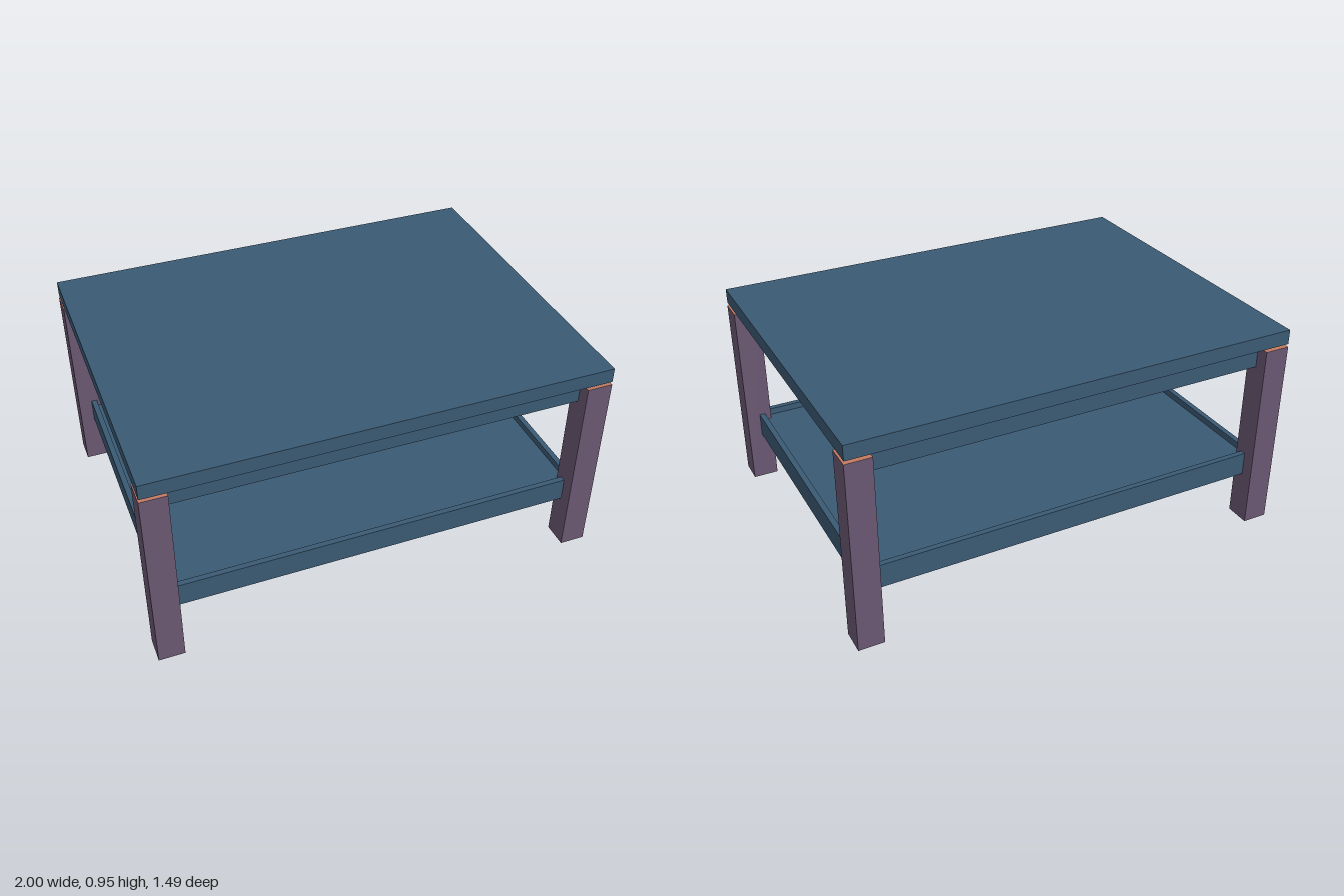
import * as THREE from 'three';

export function createModel() {
  const group = new THREE.Group();
  const material = (name, color) => {
    const m = new THREE.MeshStandardMaterial({ color });
    m.name = name;
    return m;
  };
  const blue = material('slate blue', 0x3b5a74);
  const purple = material('muted purple', 0x6a5873);
  const endGrain = material('terracotta', 0xc47a62);

  // Box given by its centre in x and z, its bottom and its top
  const box = (name, w, d, bottom, top, x = 0, z = 0, mat = blue) => {
    const mesh = new THREE.Mesh(new THREE.BoxGeometry(w, top - bottom, d), mat);
    mesh.name = name;
    mesh.position.set(x, (bottom + top) / 2, z);
    group.add(mesh);
  };

  // Table top and the block beneath it
  box('tableTop', 1.996, 1.494, 0.884, 0.95);
  box('apron', 1.88, 1.38, 0.775, 0.884);

  // Lower shelf: a panel held inside a rim of four rails
  const rail = 0.025;
  box('shelfPanel', 1.88 - 2 * rail, 1.38 - 2 * rail, 0.25, 0.305);
  for (const side of [-1, 1]) {
    box(side > 0 ? 'frontShelfRail' : 'backShelfRail', 1.88, rail, 0.228, 0.335, 0, side * (0.69 - rail / 2));
    box(side > 0 ? 'leftShelfRail' : 'rightShelfRail', rail, 1.38 - 2 * rail, 0.228, 0.335, side * (0.94 - rail / 2), 0);
  }

  // Square legs with differently coloured ends
  const legFaces = [purple, purple, endGrain, endGrain, purple, purple];
  for (const x of [-1, 1]) {
    for (const z of [-1, 1]) {
      const name = (z > 0 ? 'front' : 'back') + (x > 0 ? 'Left' : 'Right') + 'Leg';
      box(name, 0.113, 0.113, 0, 0.87, x * 0.9435, z * 0.6905, legFaces);
    }
  }
  return group;
}
